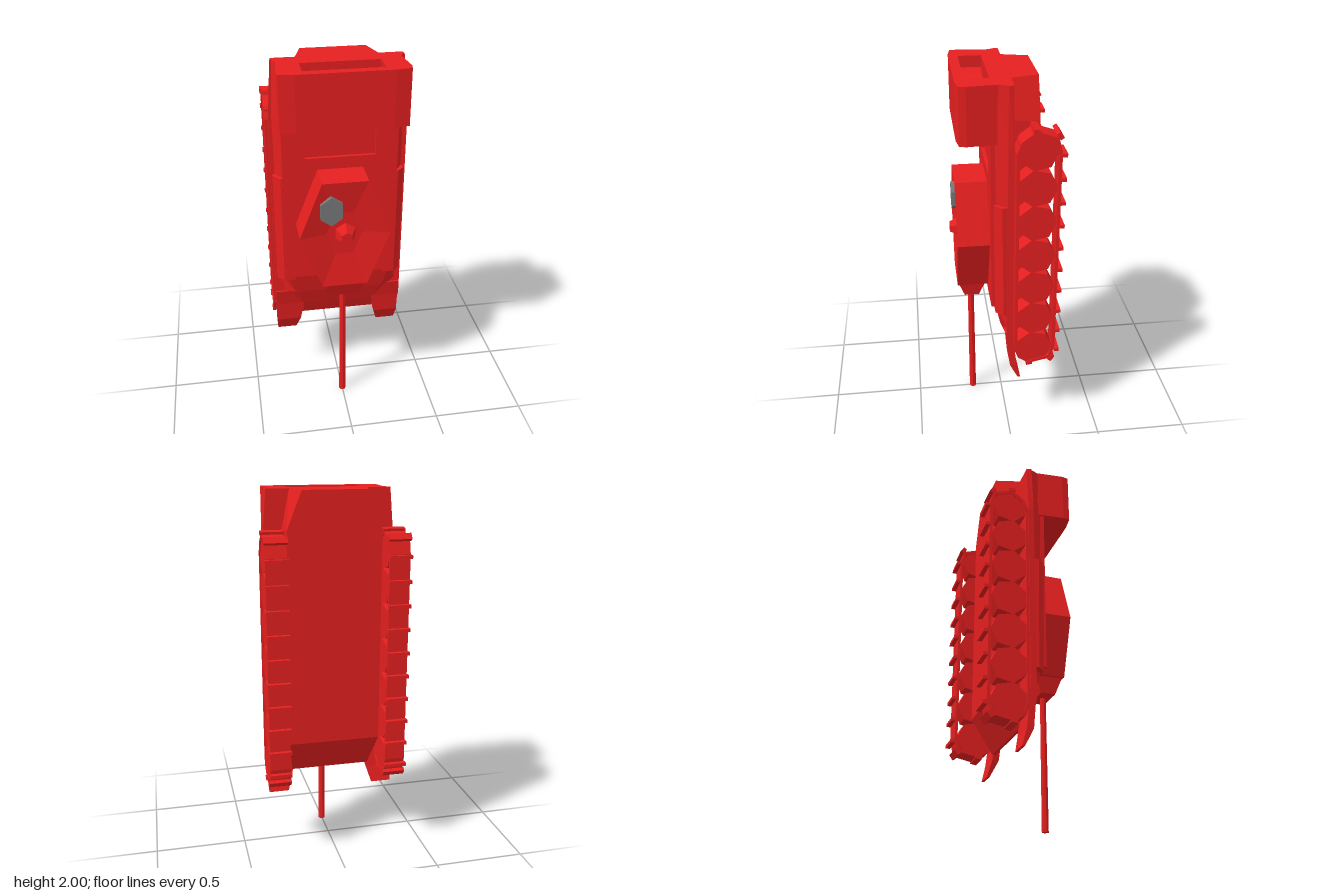
import * as THREE from 'three';

const red = new THREE.MeshStandardMaterial({ color: 0xe51f1f, flatShading: true, side: THREE.DoubleSide });
const grey = new THREE.MeshStandardMaterial({ color: 0x777777, flatShading: true });

export function createModel() {
  const model = new THREE.Group();

  const add = (name, geo, parent = model, mat = red) => {
    const mesh = new THREE.Mesh(geo, mat);
    mesh.name = name;
    parent.add(mesh);
    return mesh;
  };

  // Skins a list of equal-length rings of [x, y, z] points and caps both ends
  const loft = (rings) => {
    const n = rings[0].length, pos = rings.flat(2), idx = [];
    for (let r = 0; r < rings.length - 1; r++) {
      for (let i = 0; i < n; i++) {
        const a = r * n + i, b = r * n + (i + 1) % n;
        idx.push(a, b, a + n, b, b + n, a + n);
      }
    }
    const last = (rings.length - 1) * n;
    for (let i = 1; i < n - 1; i++) idx.push(0, i + 1, i, last, last + i, last + i + 1);
    // Turn the faces outward when the rings run the other way
    const v = (i) => new THREE.Vector3().fromArray(pos, i * 3);
    let volume = 0;
    for (let i = 0; i < idx.length; i += 3) volume += v(idx[i]).dot(v(idx[i + 1]).cross(v(idx[i + 2])));
    if (volume < 0) idx.reverse();
    const g = new THREE.BufferGeometry();
    g.setAttribute('position', new THREE.Float32BufferAttribute(pos, 3));
    g.setIndex(idx);
    g.computeVertexNormals();
    return g;
  };

  // Mirrored trapezoid section at height y: half-width and z of its two edges
  const section = ([y, xt, zt, xb, zb]) => [[xt, y, zt], [-xt, y, zt], [-xb, y, zb], [xb, y, zb]];
  const shapeOf = (pts) => new THREE.Shape(pts.map((p) => new THREE.Vector2(...p)));
  const extrude = (shape, depth) => new THREE.ExtrudeGeometry(shape, { depth, bevelEnabled: false });

  // Hull
  add('upperHull', loft([
    [2.0, 0.3, 0.07, 0.33, 0], [1.71, 0.3, 0.07, 0.345, 0], [0.78, 0.29, 0.065, 0.345, 0],
    [0.64, 0.25, 0.035, 0.34, -0.005], [0.53, 0.2, 0.0, 0.25, -0.02], [0.45, 0.2, -0.03, 0.22, -0.04],
  ].map(section)));
  add('lowerHull', loft([
    [2.0, 0.21, -0.015, 0.17, -0.16], [1.8, 0.25, -0.015, 0.25, -0.16],
    [0.65, 0.25, -0.015, 0.25, -0.16], [0.45, 0.22, -0.03, 0.22, -0.045],
  ].map(section)));
  add('sponsonPlate', loft([
    [2.0, 0.335, 0.005, 0.33, -0.022], [1.71, 0.355, 0.008, 0.355, -0.022], [0.6, 0.36, 0.01, 0.36, -0.022],
  ].map(section)));

  // Deck with a recessed engine hatch
  const deck = shapeOf([[-0.3, 0.78], [0.3, 0.78], [0.303, 1.72], [-0.303, 1.72]]);
  deck.holes.push(shapeOf([[-0.185, 1.5], [-0.185, 1.69], [0.185, 1.69], [0.185, 1.5]]));
  add('deck', extrude(deck, 0.025)).position.z = 0.062;

  // Rear box with a curved recess
  const boxOutline = [[-0.31, -0.05], [0.31, -0.05], [0.325, -0.2], [0.318, -0.236], [0.24, -0.248],
    [-0.24, -0.248], [-0.318, -0.236], [-0.325, -0.2]];
  const frame = shapeOf(boxOutline);
  frame.holes.push(shapeOf([[-0.2, -0.08], [0.2, -0.08], [0.2, -0.2], [-0.2, -0.2]]));
  add('rearBox', extrude(frame, 0.24).rotateX(-Math.PI / 2)).position.y = 1.76;
  add('rearBoxBase', extrude(shapeOf(boxOutline), 0.05).rotateX(-Math.PI / 2)).position.y = 1.71;
  const bed = new THREE.Shape();
  bed.moveTo(-0.2, 1.75);
  bed.lineTo(0.2, 1.75);
  bed.lineTo(0.2, 1.94);
  bed.quadraticCurveTo(0, 1.8, -0.2, 1.94);
  add('recessFloor', extrude(bed, 0.13)).position.z = 0.075;

  // Turret: six-sided walls with a shallow sunken roof
  const outline = [[-0.12, 1.435], [0.12, 1.435], [0.24, 1.125], [0.122, 0.815], [-0.122, 0.815], [-0.24, 1.125]];
  const hex = (z, s = 1) => outline.map(([x, y]) => [x * s, 1.125 + (y - 1.125) * s, z]);
  const turret = new THREE.Group();
  turret.name = 'turret';
  model.add(turret);
  add('turretShell', loft([hex(0.08), hex(0.255), hex(0.225, 0.4)]), turret);
  add('mantlet', loft([[0.82, 0.105, 0.25, 0.105, 0.098], [0.725, 0.085, 0.215, 0.085, 0.135]].map(section)), turret);
  const barrel = add('gunBarrel', new THREE.CylinderGeometry(0.017, 0.019, 0.75, 8), turret);
  barrel.position.set(0, 0.375, 0.175);
  const hatch = add('hatch', new THREE.CylinderGeometry(0.066, 0.066, 0.05, 6).rotateX(Math.PI / 2), turret, grey);
  hatch.scale.y = 1.25;
  hatch.position.set(-0.073, 1.277, 0.24);
  const cupola = add('cupola', new THREE.CylinderGeometry(0.032, 0.062, 0.06, 6).rotateX(Math.PI / 2), turret);
  cupola.position.set(0.005, 1.125, 0.252);

  // Closed track path as [z, y]
  const path = [[-0.25, 0.55], [-0.25, 1.68], [-0.23, 1.755], [-0.125, 1.79], [-0.055, 1.74],
    [-0.03, 1.68], [-0.03, 0.53], [-0.05, 0.48], [-0.11, 0.44], [-0.23, 0.465]];
  const inner = path.map(([z, y]) => [-0.14 + (z + 0.14) * 0.86, 1.115 + (y - 1.115) * 0.974]);

  for (const side of [1, -1]) {
    const name = side > 0 ? 'left' : 'right';

    // Side skirt panel
    add(name + 'SidePanel', loft([[1.39, 0], [0.75, 0.008]].map(([y, d]) => [
      [0.25, y, 0.075 - d], [0.312, y, 0.075 - d], [0.35, y, 0.036 - d], [0.345, y, -0.01], [0.25, y, -0.01],
    ].map(([x, yy, z]) => [x * side, yy, z]))));

    // Front fender
    add(name + 'Fender', loft([
      [0.64, 0.25, 0.36, 0.02, -0.022], [0.54, 0.2, 0.36, 0.002, -0.03],
      [0.42, 0.22, 0.36, -0.008, -0.045], [0.33, 0.245, 0.355, -0.052, -0.066],
    ].map(([y, a, b, zt, zb]) => [[a, y, zt], [b, y, zt], [b, y, zb], [a, y, zb]].map(
      ([x, yy, z]) => [x * side, yy, z]))));

    // Track belt, pads and wheels
    const track = new THREE.Group();
    track.name = name + 'Track';
    track.position.x = side * 0.319;
    model.add(track);
    const belt = shapeOf(path);
    belt.holes.push(shapeOf(inner));
    add('belt', extrude(belt, 0.11).rotateY(-Math.PI / 2), track).position.x = 0.055;

    for (let i = 0; i < 10; i++) {
      add('trackPad', new THREE.BoxGeometry(0.12, 0.018, 0.026), track).position.set(0, 0.52 + i * 0.1275, -0.261);
    }
    for (const [z, y, turn] of [[-0.235, 1.765, 0.6], [-0.125, 1.79, 1.4], [-0.232, 0.465, -0.6], [-0.11, 0.443, -1.4]]) {
      const pad = add('endPad', new THREE.BoxGeometry(0.12, 0.035, 0.022), track);
      pad.position.set(0, y, z);
      pad.rotation.x = turn;
    }
    for (let i = 0; i < 7; i++) {
      const wheel = add('wheel', new THREE.CylinderGeometry(0.1, 0.1, 0.1, 7).rotateY(Math.PI).rotateZ(Math.PI / 2), track);
      wheel.position.set(0, 0.546 + i * 0.19, -0.136);
    }
  }
  return model;
}
